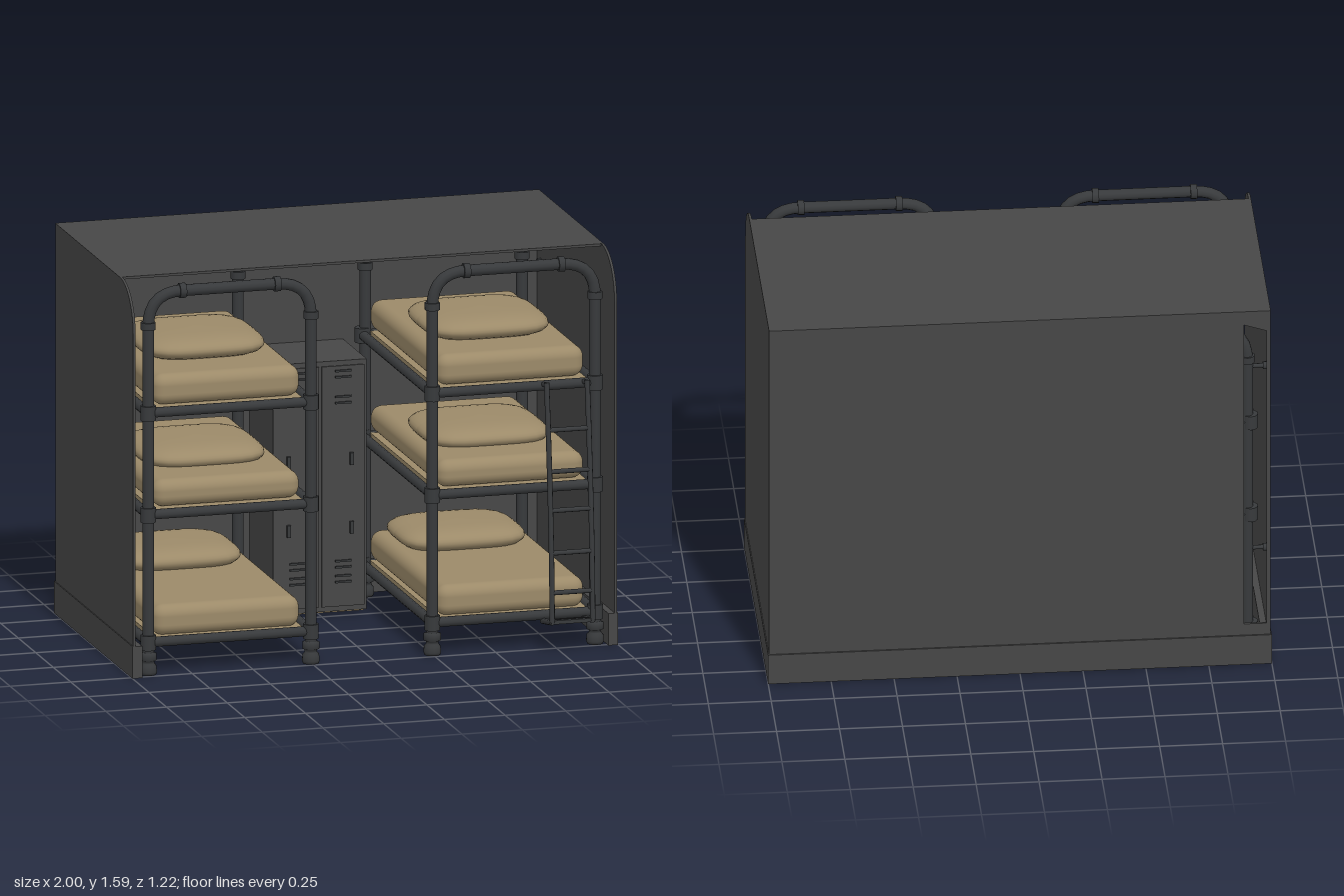
import * as THREE from 'three';
import { RoundedBoxGeometry } from 'three/addons/geometries/RoundedBoxGeometry.js';

const V = (x, y, z) => new THREE.Vector3(x, y, z);
const mat = (name, color, side = THREE.FrontSide) => {
  const m = new THREE.MeshStandardMaterial({ color, side });
  m.name = name;
  return m;
};

export function createModel() {
  const shellGrey = mat('shellGrey', 0x474747, THREE.DoubleSide);
  const frameGrey = mat('frameGrey', 0x383a3c);
  const tan = mat('beddingTan', 0x9c8a69);
  const model = new THREE.Group();
  model.name = 'bunkRoom';

  const add = (parent, name, geo, material) => {
    const m = new THREE.Mesh(geo, material);
    m.name = name;
    parent.add(m);
    return m;
  };
  // Box given by its min and max corners
  const box = (parent, name, x0, x1, y0, y1, z0, z1, material) =>
    add(parent, name, new THREE.BoxGeometry(x1 - x0, y1 - y0, z1 - z0)
      .translate((x0 + x1) / 2, (y0 + y1) / 2, (z0 + z1) / 2), material);
  // Round bar between two points
  const bar = (parent, name, a, b, r, sides = 10) => {
    const geo = new THREE.CylinderGeometry(r, r, a.distanceTo(b), sides);
    const m = add(parent, name, geo, frameGrey);
    m.position.copy(a).lerp(b, 0.5);
    m.quaternion.setFromUnitVectors(V(0, 1, 0), b.clone().sub(a).normalize());
    return m;
  };

  // ---- Shell: side walls with a rounded upper front corner ----
  const shell = new THREE.Group();
  shell.name = 'shell';
  model.add(shell);
  const side = new THREE.Shape();
  side.moveTo(-0.6, 0);
  side.lineTo(0.51, 0);
  side.lineTo(0.51, 1.4);
  side.absarc(0.32, 1.4, 0.19, 0, Math.PI / 2, false);
  side.lineTo(-0.6, 1.59);
  const sideGeo = new THREE.ExtrudeGeometry(side, { depth: 0.01, bevelEnabled: false, curveSegments: 10 });
  sideGeo.rotateY(-Math.PI / 2);
  for (const s of [1, -1]) {
    add(shell, 'sideWall', sideGeo, shellGrey).position.x = s > 0 ? 0.996 : -0.986;
    const a = s > 0 ? 0.96 : -1;
    box(shell, 'sideSkirting', a, a + 0.04, 0, 0.13, -0.6, 0.515, shellGrey);
  }
  box(shell, 'roof', -0.995, 0.995, 1.58, 1.59, -0.6, 0.32, shellGrey);
  box(shell, 'backSkirting', -1, 1, 0, 0.13, -0.61, -0.585, shellGrey);
  // Back wall with a tall narrow opening near one corner
  const back = new THREE.Shape([[-0.995, 0], [0.995, 0], [0.995, 1.59], [-0.995, 1.59]]
    .map(p => new THREE.Vector2(...p)));
  back.holes.push(new THREE.Path([[-0.98, 0.18], [-0.98, 1.5], [-0.89, 1.53], [-0.89, 0.18]]
    .map(p => new THREE.Vector2(...p))));
  add(shell, 'backWall', new THREE.ExtrudeGeometry(back, { depth: 0.01, bevelEnabled: false }), shellGrey)
    .position.z = -0.604;

  // ---- Beds ----
  const footGeo = new THREE.LatheGeometry([[0, 0], [0.032, 0], [0.036, 0.012], [0.034, 0.035],
    [0.025, 0.045], [0.025, 0.055], [0.035, 0.06], [0.035, 0.085], [0.024, 0.09]]
    .map(p => new THREE.Vector2(...p)), 12);

  // Tubular end frame with rounded shoulders
  const hoop = (parent, half, top, z, name) => {
    const r = 0.14, path = new THREE.CurvePath();
    path.add(new THREE.LineCurve3(V(-half, 0.05, z), V(-half, top - r, z)));
    path.add(new THREE.QuadraticBezierCurve3(V(-half, top - r, z), V(-half, top, z), V(r - half, top, z)));
    path.add(new THREE.LineCurve3(V(r - half, top, z), V(half - r, top, z)));
    path.add(new THREE.QuadraticBezierCurve3(V(half - r, top, z), V(half, top, z), V(half, top - r, z)));
    path.add(new THREE.LineCurve3(V(half, top - r, z), V(half, 0.05, z)));
    add(parent, name, new THREE.TubeGeometry(path, 110, 0.023, 10), frameGrey);
    for (const s of [-1, 1]) {
      add(parent, 'foot', footGeo, frameGrey).position.set(s * half, 0, z);
      bar(parent, 'topCollar', V(s * (half - 0.14) - 0.013, top, z), V(s * (half - 0.14) + 0.013, top, z), 0.03);
      bar(parent, 'shoulderCollar', V(s * half, top - 0.15, z), V(s * half, top - 0.12, z), 0.03);
    }
  };

  // Soft pillow: sphere squared off in plan, with a thin rim
  const pillowGeo = (w, h, d) => {
    const geo = new THREE.SphereGeometry(1, 40, 16);
    const p = geo.attributes.position;
    for (let i = 0; i < p.count; i++) {
      const x = p.getX(i), y = p.getY(i), z = p.getZ(i);
      const r = Math.hypot(x, z), q = Math.pow(x ** 4 + z ** 4, 0.25);
      const k = q > 1e-6 ? Math.sqrt(r) / q : 0;
      p.setXYZ(i, x * k * w / 2, y * h / 2, z * k * d / 2);
    }
    geo.computeVertexNormals();
    return geo;
  };

  const FRONT = 0.46, REAR = -0.54, HALF = 0.335;
  const levels = [
    { rail: 0.13, y0: 0.14, y1: 0.265, pillowY: 0.295, pillowZ: -0.33, pillowD: 0.44 },
    { rail: 0.65, y0: 0.665, y1: 0.775, pillowY: 0.795, pillowZ: -0.01, pillowD: 0.5 },
    { rail: 1.065, y0: 1.08, y1: 1.205, pillowY: 1.24, pillowZ: -0.01, pillowD: 0.5 },
  ];
  for (const s of [-1, 1]) {
    const bed = new THREE.Group();
    bed.name = s < 0 ? 'rightBunk' : 'leftBunk';
    bed.position.x = s * 0.585;
    model.add(bed);
    hoop(bed, HALF, 1.555, FRONT, 'frontHoop');
    hoop(bed, HALF - 0.012, 1.48, REAR, 'rearHoop');
    for (const l of levels) {
      for (const z of [FRONT, REAR]) {
        bar(bed, 'crossRail', V(-HALF, l.rail, z), V(HALF, l.rail, z), 0.02);
        for (const t of [-1, 1])
          bar(bed, 'postCollar', V(t * HALF, l.rail - 0.03, z), V(t * HALF, l.rail + 0.03, z), 0.031);
      }
      for (const t of [-1, 1]) {
        bar(bed, 'sideRail', V(t * HALF, l.rail, FRONT), V(t * HALF, l.rail, REAR), 0.02);
        box(bed, 'sideLedge', t * 0.315 - 0.015, t * 0.315 + 0.015, l.rail - 0.02, l.rail - 0.005,
          REAR, FRONT, frameGrey);
      }
      const h = l.y1 - l.y0;
      box(bed, 'bedBase', -0.305, 0.305, l.rail - 0.008, l.rail + 0.015, REAR, FRONT - 0.01, tan);
      add(bed, 'mattress', new RoundedBoxGeometry(0.605, h, 1.0, 4, 0.045), tan)
        .position.set(0, l.y0 + h / 2, -0.065);
      add(bed, 'pillow', pillowGeo(0.51, 0.1, l.pillowD), tan).position.set(-0.01, l.pillowY, l.pillowZ);
    }
    // Pegs fixing the bed to the wall
    for (const y of [0.49, 1.31]) {
      bar(bed, 'wallPeg', V(s * HALF, y, REAR), V(s * 0.405, y, REAR), 0.009, 8);
      bar(bed, 'wallPegCap', V(s * 0.385, y, REAR), V(s * 0.4, y, REAR), 0.016, 8);
    }
  }

  // ---- Locker with two doors ----
  const locker = new THREE.Group();
  locker.name = 'locker';
  model.add(locker);
  const LZ = -0.25;
  box(locker, 'lockerBody', -0.2, 0.185, 0.02, 1.04, -0.59, LZ, shellGrey);
  box(locker, 'lockerFloor', -0.19, 0.175, 0.014, 0.02, -0.58, LZ - 0.01, tan);
  for (const s of [-1, 1]) {
    const cx = -0.0075 + s * 0.094;
    box(locker, 'lockerDoor', cx - 0.088, cx + 0.088, 0.04, 1.02, LZ, LZ + 0.006, shellGrey);
    for (const y of [0.14, 0.165, 0.2, 0.225, 0.87, 0.895, 0.975, 1.0])
      box(locker, 'ventSlat', cx - 0.033, cx + 0.033, y - 0.004, y + 0.004, LZ, LZ + 0.013, frameGrey);
    for (const y of [0.36, 0.64])
      box(locker, 'doorHandle', s * 0.13 - 0.017, s * 0.13 - 0.002, y - 0.025, y + 0.025, LZ, LZ + 0.018, frameGrey);
  }

  // ---- Ladder leaning on one bunk ----
  const ladder = new THREE.Group();
  ladder.name = 'ladder';
  model.add(ladder);
  const ladderZ = y => 0.595 - 0.08 * Math.pow((y - 0.13) / 0.96, 1.6);
  for (const x of [0.705, 0.872]) {
    const pts = [0.13, 0.3, 0.5, 0.7, 0.9, 1.09].map(y => V(x, y, ladderZ(y)));
    add(ladder, 'ladderRail', new THREE.TubeGeometry(new THREE.CatmullRomCurve3(pts), 20, 0.011, 8), frameGrey);
    bar(ladder, 'ladderHook', V(x, 1.08, 0.517), V(x, 1.07, FRONT), 0.011, 8);
    bar(ladder, 'ladderFootBar', V(x, 0.13, 0.595), V(x, 0.105, FRONT), 0.012, 8);
  }
  for (const y of [0.25, 0.41, 0.58, 0.735, 0.9])
    bar(ladder, 'rung', V(0.705, y, ladderZ(y)), V(0.872, y, ladderZ(y)), 0.01, 8);
  for (let i = 0; i < 5; i++)
    box(ladder, 'bottomTread', 0.7, 0.877, 0.107 + i * 0.004, 0.122 + i * 0.004,
      0.503 + i * 0.02, 0.521 + i * 0.02, frameGrey);

  return model;
}
